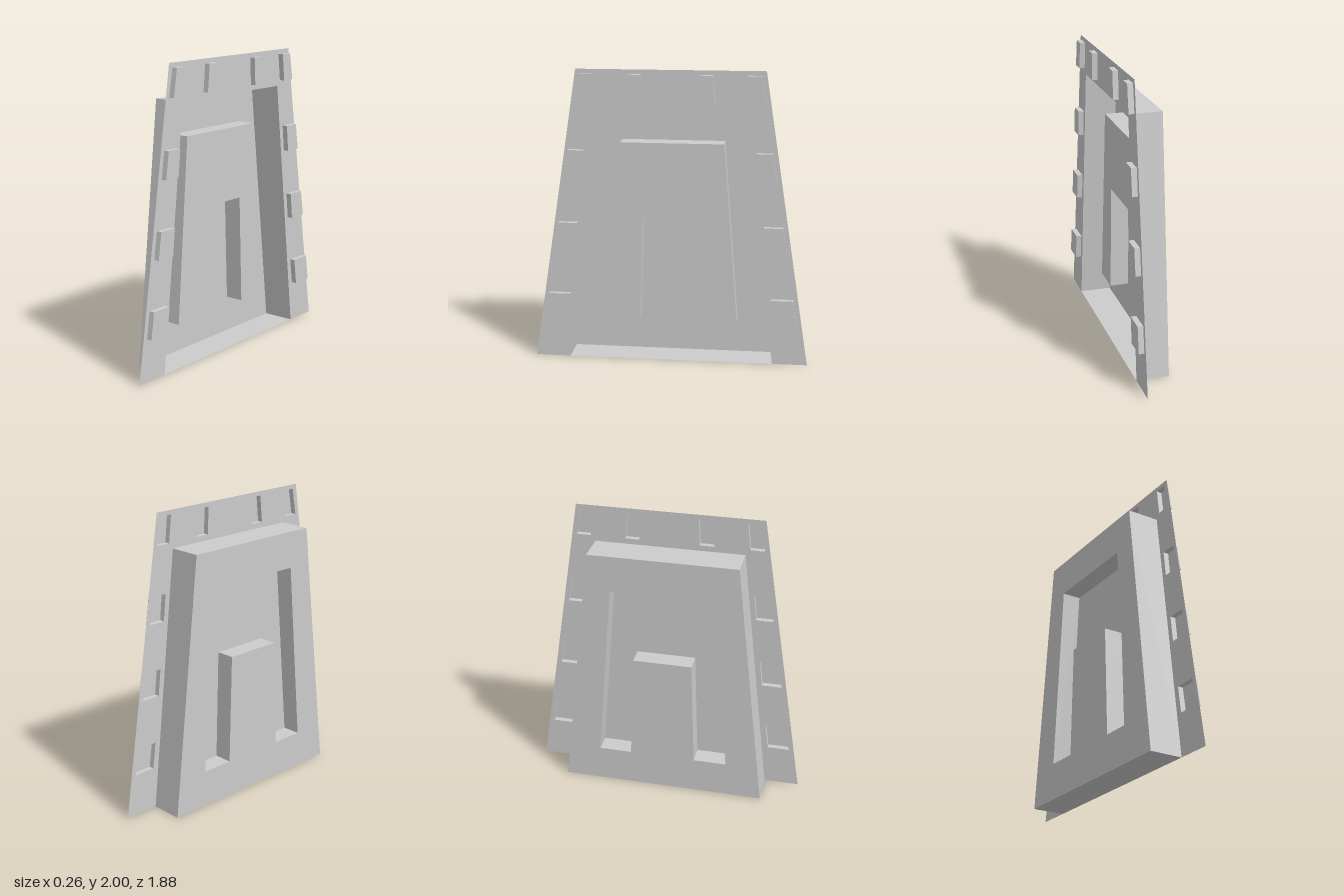
import * as THREE from 'three';

const BACK = -0.13, RAISED = 0, FRAME = 0.093, FRONT = 0.13;

const material = new THREE.MeshStandardMaterial({
  color: 0xcccccc, side: THREE.DoubleSide, flatShading: true,
});

// Symmetric trapezoid outline: half-widths at bottom and top
const trapezoid = (y0, w0, y1, w1) => [[-w0, y0], [w0, y0], [w1, y1], [-w1, y1]];

// Flat sheet facing +x, cut from a closed outline of [across, up] points
function sheet(name, outline, x, holes = []) {
  const toPoints = (list) => list.map(([s, y]) => new THREE.Vector2(s, y));
  const shape = new THREE.Shape(toPoints(outline));
  shape.holes = holes.map((hole) => new THREE.Path(toPoints(hole)));
  const geometry = new THREE.ShapeGeometry(shape).rotateY(Math.PI / 2).translate(x, 0, 0);
  const mesh = new THREE.Mesh(geometry, material);
  mesh.name = name;
  return mesh;
}

// Thin wall following a closed outline, from depth x0 to x1
function wall(name, outline, x0, x1) {
  const positions = [];
  outline.forEach(([s, y], i) => {
    const [t, v] = outline[(i + 1) % outline.length];
    const a = [x0, y, -s], b = [x0, v, -t], c = [x1, v, -t], d = [x1, y, -s];
    positions.push(...a, ...b, ...c, ...a, ...c, ...d);
  });
  const geometry = new THREE.BufferGeometry();
  geometry.setAttribute('position', new THREE.Float32BufferAttribute(positions, 3));
  geometry.computeVertexNormals();
  const mesh = new THREE.Mesh(geometry, material);
  mesh.name = name;
  return mesh;
}

export function createModel() {
  const model = new THREE.Group();
  model.name = 'recessedPanel';

  // Hollow pads around the rim: [y0, inner, outer at y0, y1, inner, outer at y1]
  const pads = [];
  for (const [y0, a0, b0, y1, a1, b1] of [
    [0.285, 0.71, 0.86, 0.465, 0.685, 0.833],
    [0.787, 0.647, 0.783, 0.967, 0.627, 0.755],
    [1.285, 0.588, 0.705, 1.465, 0.569, 0.678],
    [1.787, 0.53, 0.626, 1.97, 0.51, 0.595],
    [1.787, 0.2, 0.297, 1.97, 0.191, 0.28],
  ]) {
    for (const side of [1, -1]) {
      pads.push([[a0, y0], [b0, y0], [b1, y1], [a1, y1]].map(([s, y]) => [s * side, y]));
    }
  }

  // Flat rim, open at the bottom, pierced behind each pad
  const rim = [
    [-0.938, 0], [-0.7, 0], [-0.5, 1.75], [0.5, 1.75],
    [0.7, 0], [0.938, 0], [0.625, 2], [-0.625, 2],
  ];
  model.add(sheet('rim', rim, FRAME, pads));

  for (const outline of pads) {
    const pad = new THREE.Group();
    pad.name = 'pad';
    pad.add(wall('padSides', outline, FRAME, FRONT), sheet('padFace', outline, FRONT));
    model.add(pad);
  }

  // Deep tray behind the rim, with an arch raised from its back
  const tray = trapezoid(0, 0.7, 1.75, 0.5);
  const arch = [
    [-0.45, 0.25], [-0.225, 0.25], [-0.2, 1], [0.2, 1],
    [0.225, 0.25], [0.45, 0.25], [0.35, 1.5], [-0.35, 1.5],
  ];
  model.add(
    wall('trayWalls', tray, BACK, FRAME),
    sheet('trayBack', tray, BACK, [arch]),
    wall('archSides', arch, BACK, RAISED),
    sheet('archFace', arch, RAISED),
  );
  return model;
}
